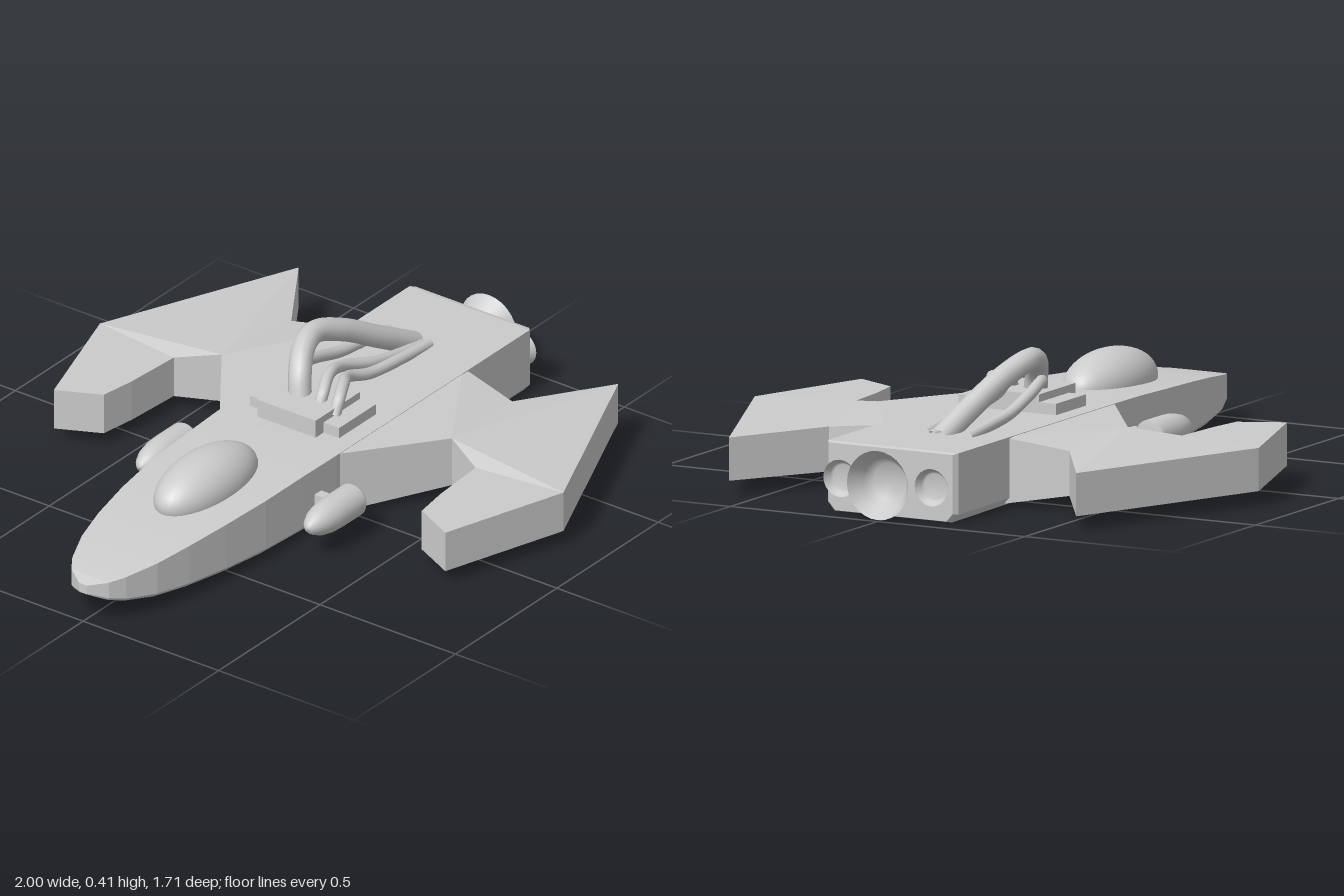
import * as THREE from 'three';

const mat = (o = {}) => new THREE.MeshStandardMaterial({ color: 0xcccccc, ...o });
const flat = mat({ flatShading: true });
const smooth = mat();
const open = mat({ side: THREE.DoubleSide });

function add(parent, name, geo, material, x = 0, y = 0, z = 0) {
  const m = new THREE.Mesh(geo, material);
  m.name = name;
  m.position.set(x, y, z);
  parent.add(m);
  return m;
}

function fromTriangles(v) {
  const g = new THREE.BufferGeometry();
  g.setAttribute('position', new THREE.Float32BufferAttribute(v.flat(), 3));
  g.computeVertexNormals();
  return g;
}

// Hull: lofted sections with a flat deck and bevelled lower edges
function hullGeometry() {
  // x, half width, bottom y, top y
  const stations = [
    [-1, 0.015, 0.095, 0.125], [-0.965, 0.07, 0.078, 0.138], [-0.92, 0.1, 0.064, 0.147],
    [-0.82, 0.14, 0.046, 0.162], [-0.7, 0.168, 0.034, 0.177], [-0.55, 0.192, 0.024, 0.19],
    [-0.38, 0.21, 0.016, 0.2], [-0.2, 0.217, 0.011, 0.207], [-0.05, 0.222, 0.008, 0.21],
    [0.905, 0.222, 0, 0.21], [0.92, 0.21, 0.004, 0.206],
  ];
  const rings = stations.map(([x, w, b, t]) => {
    const h = (t - b) * 0.12;
    return [[x, t, -w], [x, t, w], [x, b + h, w], [x, b, w * 0.9], [x, b, -w * 0.9], [x, b + h, -w]];
  });
  const v = [];
  const n = 6;
  for (let i = 0; i < rings.length - 1; i++) {
    for (let j = 0; j < n; j++) {
      const a = rings[i][j], b = rings[i][(j + 1) % n];
      const c = rings[i + 1][(j + 1) % n], d = rings[i + 1][j];
      v.push(a, b, c, a, c, d);
    }
  }
  const first = rings[0], last = rings[rings.length - 1];
  for (let j = 1; j < n - 1; j++) {
    v.push(first[0], first[j + 1], first[j]);
    v.push(last[0], last[j], last[j + 1]);
  }
  return fromTriangles(v);
}

// Plate from outline points [x, z, top y, bottom y], fanned from the first point
function plate(points, side) {
  const v = [];
  const tri = (a, b, c) => (side > 0 ? v.push(a, b, c) : v.push(a, c, b));
  const top = points.map(([x, z, t]) => [x, t, z * side]);
  const bot = points.map(([x, z, , b]) => [x, b, z * side]);
  const n = points.length;
  for (let i = 1; i < n - 1; i++) {
    tri(top[0], top[i], top[i + 1]);
    tri(bot[0], bot[i + 1], bot[i]);
  }
  for (let i = 0; i < n; i++) {
    const j = (i + 1) % n;
    tri(top[i], bot[i], bot[j]);
    tri(top[i], bot[j], top[j]);
  }
  return fromTriangles(v);
}

function tube(points, radius) {
  const curve = new THREE.CatmullRomCurve3(points.map((p) => new THREE.Vector3(...p)));
  return new THREE.TubeGeometry(curve, 40, radius, 12);
}

// Flared nozzle opening towards +x
function nozzle(parent, name, z, length, throat, mouth) {
  const g = new THREE.Group();
  g.name = name;
  g.position.set(0.92, 0.108, z);
  g.rotation.z = -Math.PI / 2;
  const profile = [[0, 0.004], [throat, 0.004], [throat + (mouth - throat) * 0.4, length * 0.4], [mouth, length]];
  add(g, name + 'Bell', new THREE.LatheGeometry(profile.map((p) => new THREE.Vector2(...p)), 28), open);
  parent.add(g);
}

export function createModel() {
  const model = new THREE.Group();
  model.name = 'spaceship';

  add(model, 'hull', hullGeometry(), flat);
  const canopy = add(model, 'canopy', new THREE.SphereGeometry(1, 36, 24), smooth, -0.395, 0.2, 0);
  canopy.scale.set(0.215, 0.1, 0.108);

  for (const side of [1, -1]) {
    const label = side > 0 ? 'left' : 'right';

    // Wing: root, swept rear panel and forward prong
    const wing = new THREE.Group();
    wing.name = label + 'Wing';
    const notch = [0.25, 0.425, 0.203, 0.045];
    const rear = [0.57, 0.408, 0.18, 0.045];
    const elbow = [0.19, 0.557, 0.175, 0.045];
    const tip = [0.225, 0.856, 0.175, 0.045];
    add(wing, 'wingRoot', plate([
      notch, rear, [0.605, 0.2, 0.209, 0.008], [-0.06, 0.2, 0.209, 0.008],
    ], side), flat);
    add(wing, 'wingPanel', plate([notch, elbow, tip, [0.85, 0.59, 0.175, 0.045], rear], side), flat);
    add(wing, 'wingProng', plate([
      elbow, [0, 0.57, 0.175, 0.045], [-0.115, 0.587, 0.175, 0.045],
      [-0.18, 0.723, 0.175, 0.045], tip,
    ], side), flat);
    model.add(wing);

    // Gun pod on a short strut
    const pod = new THREE.Group();
    pod.name = label + 'Pod';
    pod.position.set(-0.08, 0.108, side * 0.31);
    pod.rotation.z = Math.PI / 2;
    const profile = [[0, 0], [0.047, 0], [0.052, 0.008], [0.052, 0.1], [0.05, 0.14],
      [0.042, 0.18], [0.028, 0.21], [0.014, 0.226], [0, 0.23]];
    add(pod, 'podBody', new THREE.LatheGeometry(profile.map((p) => new THREE.Vector2(...p)), 24), smooth);
    model.add(pod);
    add(model, label + 'PodStrut', new THREE.BoxGeometry(0.032, 0.03, 0.1), flat, -0.135, 0.108, side * 0.25);

    nozzle(model, label + 'Nozzle', side * 0.155, 0.032, 0.038, 0.056);
  }
  nozzle(model, 'mainNozzle', 0, 0.08, 0.055, 0.104);

  // Engine block on the deck
  add(model, 'engineBlock', new THREE.BoxGeometry(0.22, 0.07, 0.215), flat, 0.112, 0.232, 0);
  add(model, 'engineCrossBlock', new THREE.BoxGeometry(0.18, 0.05, 0.33), flat, 0.132, 0.219, 0);

  // Exhaust pipes
  add(model, 'mainPipe', tube([
    [0.11, 0.24, -0.03], [0.135, 0.31, -0.05], [0.19, 0.36, -0.08], [0.27, 0.378, -0.1],
    [0.38, 0.345, -0.08], [0.52, 0.27, -0.045], [0.66, 0.195, -0.02],
  ], 0.035), smooth);
  const pipes = [
    [[0.1, 0.24, 0.105], [0.13, 0.285, 0.1], [0.19, 0.295, 0.07], [0.27, 0.27, 0.025],
      [0.37, 0.238, 0.03], [0.5, 0.224, 0.035], [0.66, 0.208, 0.033]],
    [[0.1, 0.24, 0.045], [0.13, 0.285, 0.04], [0.2, 0.305, 0.01], [0.3, 0.28, -0.015],
      [0.42, 0.245, 0.005], [0.54, 0.22, 0.01], [0.66, 0.2, 0.01]],
    [[0.1, 0.24, -0.05], [0.13, 0.285, -0.065], [0.2, 0.3, -0.1], [0.3, 0.275, -0.115],
      [0.42, 0.24, -0.117], [0.54, 0.224, -0.117], [0.66, 0.208, -0.113]],
  ];
  pipes.forEach((p, i) => add(model, 'thinPipe' + (i + 1), tube(p, 0.018), smooth));

  return model;
}
